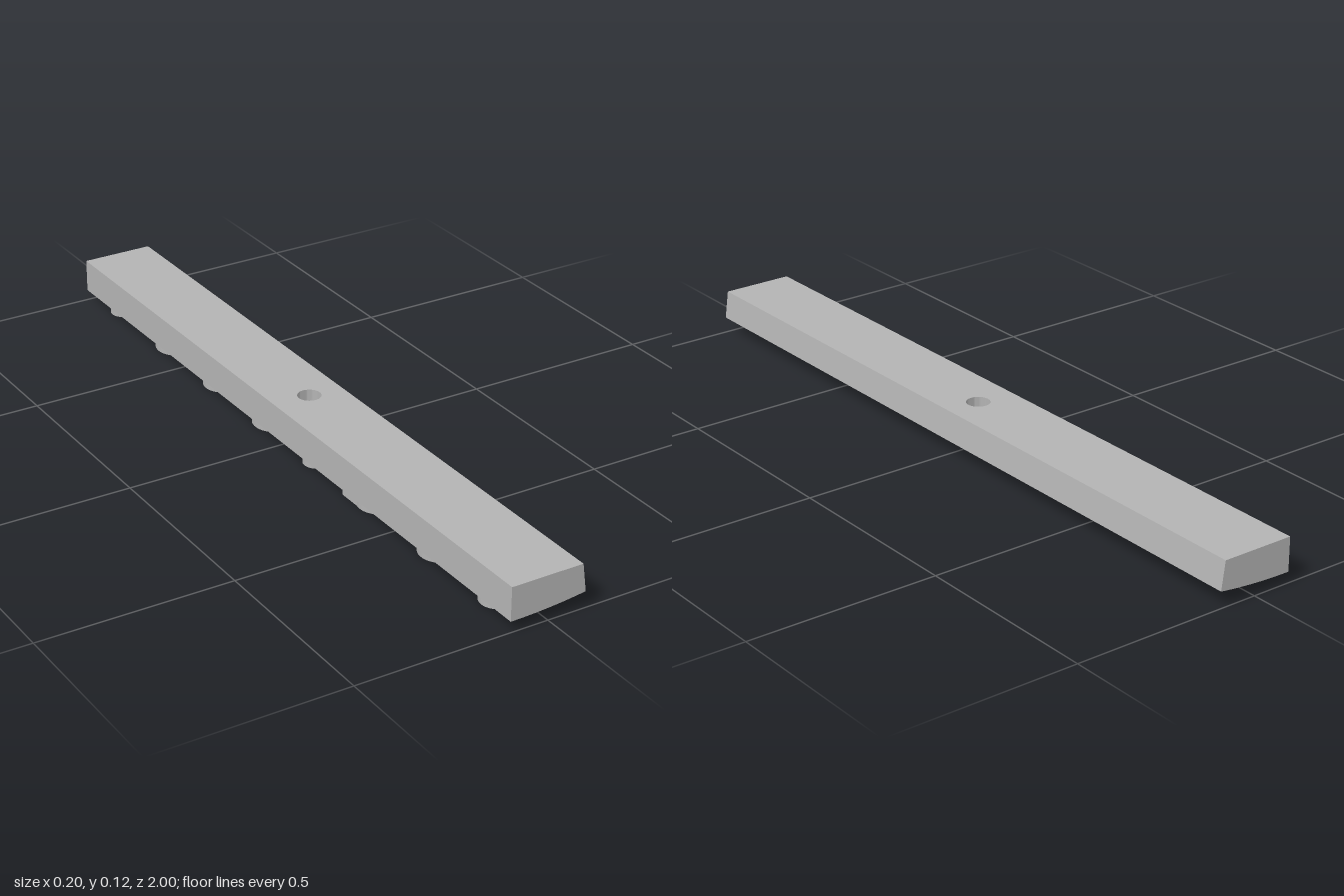
import * as THREE from 'three';
import { toCreasedNormals } from 'three/addons/utils/BufferGeometryUtils.js';

const TOP = 0.115, HALF = 0.1, HOLE = 0.03;
// gently curved underside
const under = (x) => 0.028 + 0.014 * ((x + HALF) / (2 * HALF)) ** 2;

// bar length with the wedge cross-section
function barEnd(length) {
  const s = new THREE.Shape();
  s.moveTo(-HALF, TOP);
  for (let i = 0; i <= 12; i++) {
    const x = -HALF + (2 * HALF * i) / 12;
    s.lineTo(x, under(x));
  }
  s.lineTo(0.09, TOP);
  const g = new THREE.ExtrudeGeometry(s, { depth: length, bevelEnabled: false });
  return toCreasedNormals(g, 0.5);
}

// square middle section, lofted around the vertical hole
function drilledSection() {
  const N = 64, R = 6, sections = [];
  for (let k = 0; k <= N; k++) {
    const a = (k / N) * Math.PI * 2, c = Math.cos(a), s = Math.sin(a);
    const edge = HALF / Math.max(Math.abs(c), Math.abs(s));
    const loop = [[HOLE * c, TOP, HOLE * s], [Math.min(edge * c, 0.09), TOP, edge * s]];
    for (let j = R; j >= 0; j--) {
      const r = HOLE + ((edge - HOLE) * j) / R;
      loop.push([r * c, under(r * c), r * s]);
    }
    loop.push(loop[0]);
    sections.push(loop);
  }
  const pos = [];
  for (let k = 0; k < N; k++) {
    const p = sections[k], q = sections[k + 1];
    for (let j = 0; j < p.length - 1; j++) {
      pos.push(...p[j], ...q[j], ...q[j + 1], ...p[j], ...q[j + 1], ...p[j + 1]);
    }
  }
  const g = new THREE.BufferGeometry();
  g.setAttribute('position', new THREE.Float32BufferAttribute(pos, 3));
  return toCreasedNormals(g, 0.5);
}

// plan shape (x, z) raised downward from the underside, following its curve
function raised(shape) {
  const g = new THREE.ExtrudeGeometry(shape, { depth: 0.0282, bevelEnabled: false, curveSegments: 32 });
  g.rotateX(Math.PI / 2);
  const p = g.attributes.position;
  for (let i = 0; i < p.count; i++) p.setY(i, p.getY(i) + under(p.getX(i)));
  return toCreasedNormals(g, 0.5);
}

function ringShape(x, z, rx, rz, wall) {
  const s = new THREE.Shape();
  s.absellipse(x, z, rx, rz, 0, Math.PI * 2, false);
  const h = new THREE.Path();
  h.absellipse(x, z, rx - wall, rz - wall, 0, Math.PI * 2, true);
  s.holes.push(h);
  return s;
}

function tabShape(x0, x1, z0, z1) {
  const s = new THREE.Shape();
  s.moveTo(x0, z0);
  s.lineTo(x1, z0);
  s.lineTo(x1, z1);
  s.lineTo(x0, z1);
  return s;
}

export function createModel() {
  const model = new THREE.Group();
  const grey = new THREE.MeshStandardMaterial({ color: 0xb3b3b3 });
  grey.name = 'plain grey';
  const add = (name, geometry, z = 0) => {
    const m = new THREE.Mesh(geometry, grey);
    m.name = name;
    m.position.z = z;
    model.add(m);
  };

  // bar
  add('frontBar', barEnd(1 - HALF), HALF);
  add('backBar', barEnd(1 - HALF), -1);
  add('drilledMiddle', drilledSection());

  // raised ring bosses below: [z, half width along z]
  const bosses = [
    [0.87, 0.045], [0.63, 0.052], [0.37, 0.052], [0.12, 0.04],
    [-0.115, 0.055], [-0.365, 0.052], [-0.618, 0.056], [-0.88, 0.04],
  ];
  for (const [z, rz] of bosses) add('ringBoss', raised(ringShape(-0.042, z, 0.045, rz, 0.014)));

  // small tabs beside two of the bosses
  add('sideTab', raised(tabShape(-0.085, -0.07, 0.29, 0.37)));
  add('sideTab', raised(tabShape(-0.048, -0.036, -0.185, -0.165)));
  return model;
}
